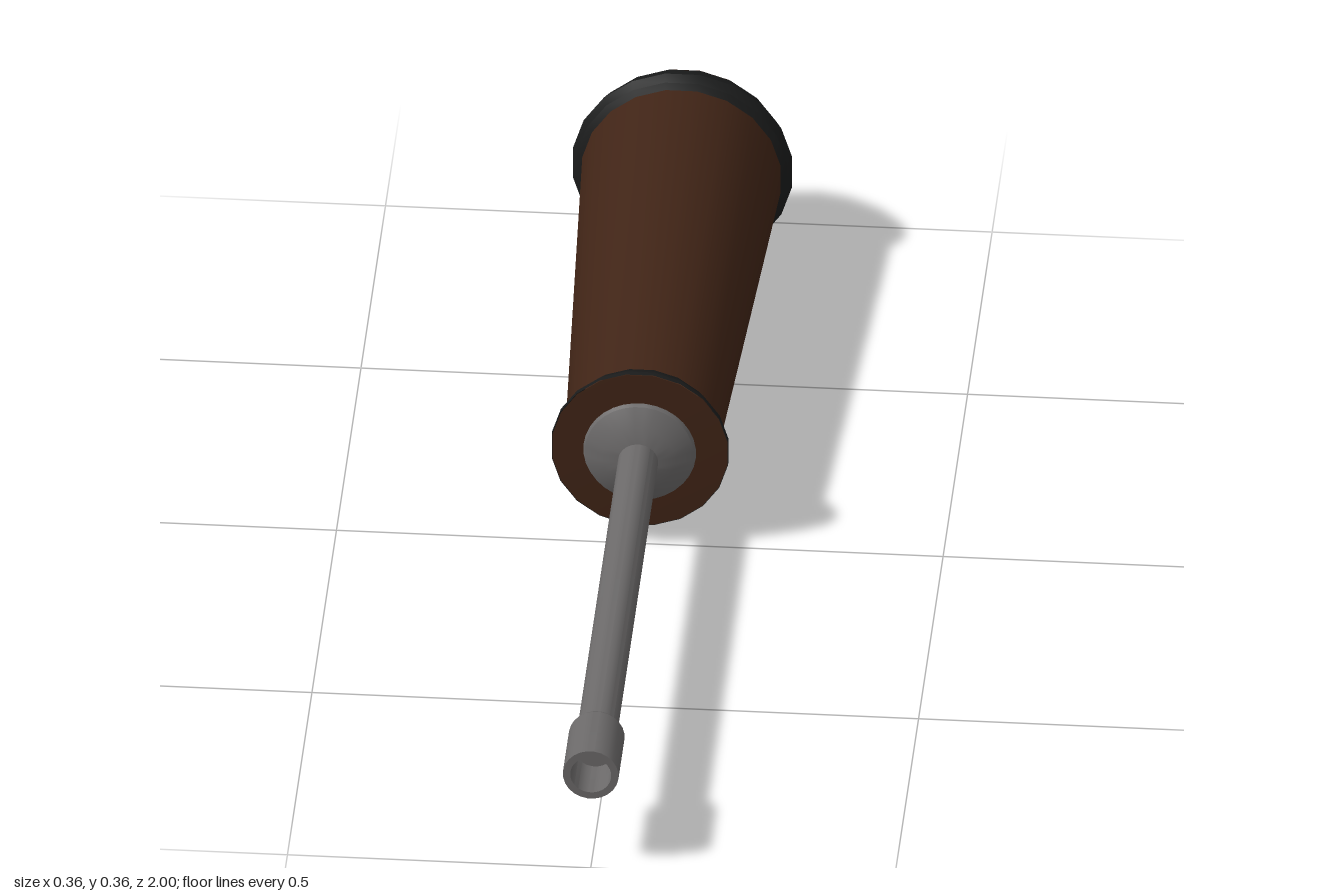
import * as THREE from 'three';
import { toCreasedNormals } from 'three/addons/utils/BufferGeometryUtils.js';

const AXIS_Y = 0.182;

const material = (color) => new THREE.MeshStandardMaterial({ color, side: THREE.DoubleSide });

// Turned part along z: profile is a list of [radius, z], from back to front
function turned(name, profile, mat, sides) {
  const points = profile.map(([r, z]) => new THREE.Vector2(r, z));
  let geometry = new THREE.LatheGeometry(points, sides, Math.PI / sides);
  geometry.rotateX(Math.PI / 2);
  geometry = toCreasedNormals(geometry, 0.42);
  const mesh = new THREE.Mesh(geometry, mat);
  mesh.name = name;
  return mesh;
}

export function createModel() {
  const wood = material(0x402416);
  const rubber = material(0x1a1b1b);
  const steel = material(0x6b6969);

  const model = new THREE.Group();
  model.name = 'nutDriver';
  model.position.y = AXIS_Y;

  // Handle: domed butt, tapered grip and front face
  model.add(
    turned('buttCap', [[0, -1], [0.078, -1], [0.112, -0.978], [0.14, -0.95], [0.158, -0.925]], wood, 20),
    turned('grip', [[0.166, -0.86], [0.127, -0.04]], wood, 20),
    turned('handleFace', [[0.146, -0.002], [0, 0.003]], wood, 20),
  );

  // Dark bands at both ends of the grip
  model.add(
    turned('rearBand', [[0.157, -0.926], [0.17, -0.905], [0.183, -0.873], [0.176, -0.856], [0.163, -0.848]], rubber, 20),
    turned('frontBand', [[0.125, -0.05], [0.131, -0.044], [0.147, -0.012], [0.147, -0.002]], rubber, 20),
  );

  // Steel: domed ferrule, shaft and hollow socket
  model.add(
    turned('ferrule', [[0.093, 0.002], [0.09, 0.009], [0.06, 0.027], [0.033, 0.034]], steel, 32),
    turned('shaft', [[0.033, 0], [0.033, 0.885]], steel, 24),
    turned('socket', [
      [0.033, 0.868], [0.041, 0.868], [0.046, 0.878], [0.046, 1],
      [0.034, 1], [0.034, 0.92], [0, 0.92],
    ], steel, 24),
  );

  const root = new THREE.Group();
  root.add(model);
  return root;
}
